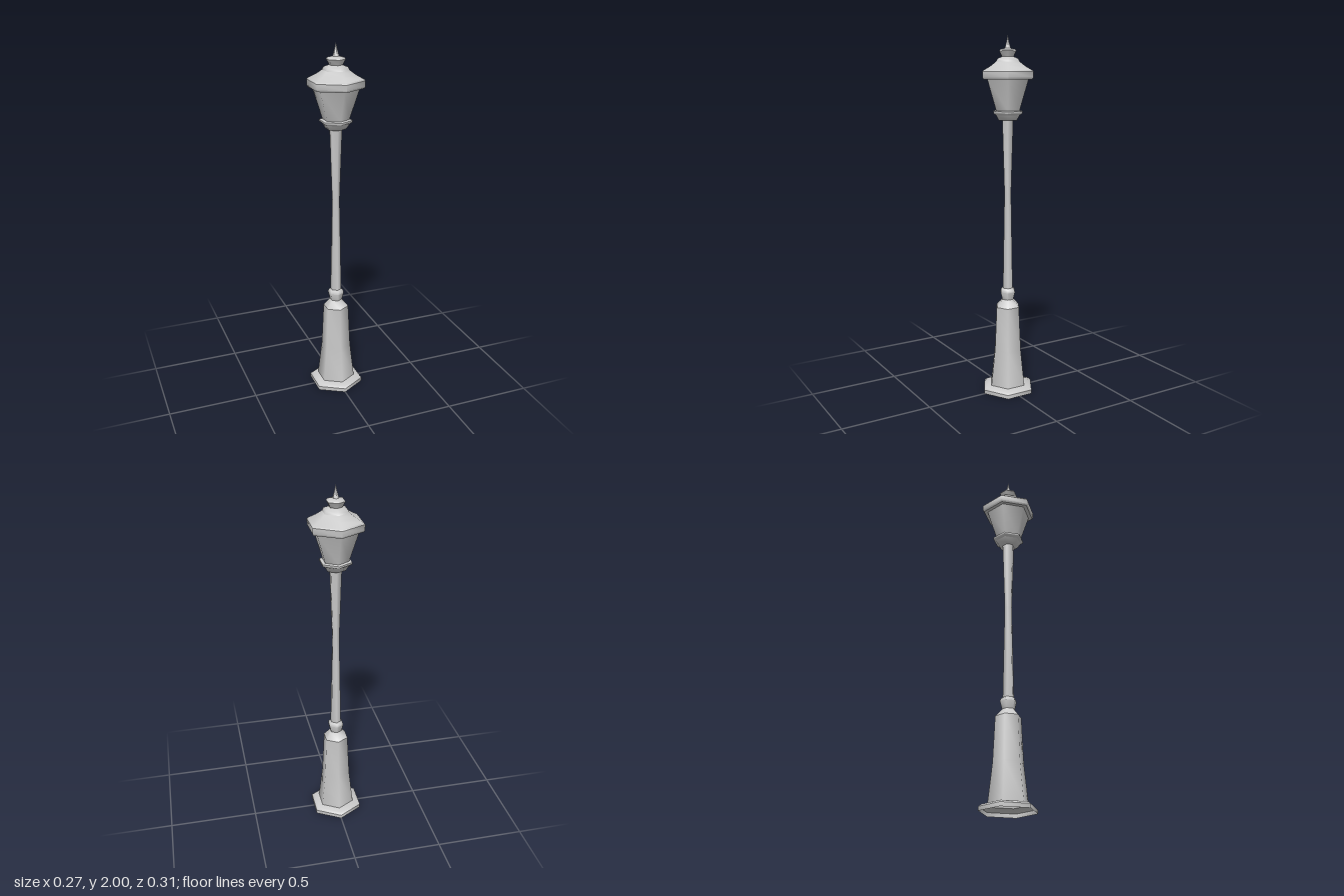
import * as THREE from 'three';
import { toCreasedNormals } from 'three/addons/utils/BufferGeometryUtils.js';

const material = new THREE.MeshStandardMaterial({ color: 0xcccccc, side: THREE.DoubleSide });

// Six-sided ring stack from [radius, height] pairs, bottom to top, with corners on +z and -z.
function hexPart(name, profile) {
  const points = profile.map(([r, y]) => new THREE.Vector2(r, y));
  const lathe = new THREE.LatheGeometry(points, 6);
  // The limit lies just above 60 degrees, so the six sides blend into each other.
  const mesh = new THREE.Mesh(toCreasedNormals(lathe, 1.1), material);
  mesh.name = name;
  return mesh;
}

export function createModel() {
  const group = new THREE.Group();
  group.name = 'streetLamp';

  group.add(
    // Foot, open underneath
    hexPart('plinthRim', [[0.155, 0], [0.155, 0.022]]),
    hexPart('plinthTop', [[0.155, 0.022], [0.14, 0.034], [0.108, 0.04]]),
    hexPart('pedestal', [[0.108, 0.04], [0.084, 0.25], [0.072, 0.5]]),
    hexPart('pedestalShoulder', [[0.072, 0.5], [0.035, 0.542]]),

    // Post with its collar
    hexPart('postCollar', [[0.035, 0.542], [0.046, 0.585], [0.042, 0.6], [0.031, 0.608]]),
    hexPart('post', [[0.031, 0.605], [0.021, 1.15], [0.034, 1.555]]),

    // Lantern body
    hexPart('lanternBottom', [[0.0, 1.55], [0.056, 1.55], [0.074, 1.578]]),
    hexPart('lanternCollar', [[0.074, 1.578], [0.09, 1.588], [0.09, 1.598], [0.07, 1.602]]),
    hexPart('lanternGlass', [[0.072, 1.6], [0.127, 1.77]]),

    // Roof
    hexPart('eaveUnderside', [[0.125, 1.768], [0.149, 1.768]]),
    hexPart('eaveBand', [[0.149, 1.768], [0.155, 1.778], [0.155, 1.808]]),
    hexPart('eaveTop', [[0.155, 1.808], [0.149, 1.815]]),
    hexPart('roof', [[0.149, 1.815], [0.105, 1.838], [0.073, 1.86]]),
    hexPart('roofCrown', [[0.073, 1.86], [0.064, 1.876], [0.036, 1.886]]),

    // Finial
    hexPart('finialCup', [[0.036, 1.886], [0.052, 1.916]]),
    hexPart('finialCap', [[0.052, 1.916], [0.046, 1.924], [0.018, 1.93]]),
    hexPart('finialSpike', [[0.018, 1.93], [0.009, 1.96], [0, 2]])
  );
  return group;
}
